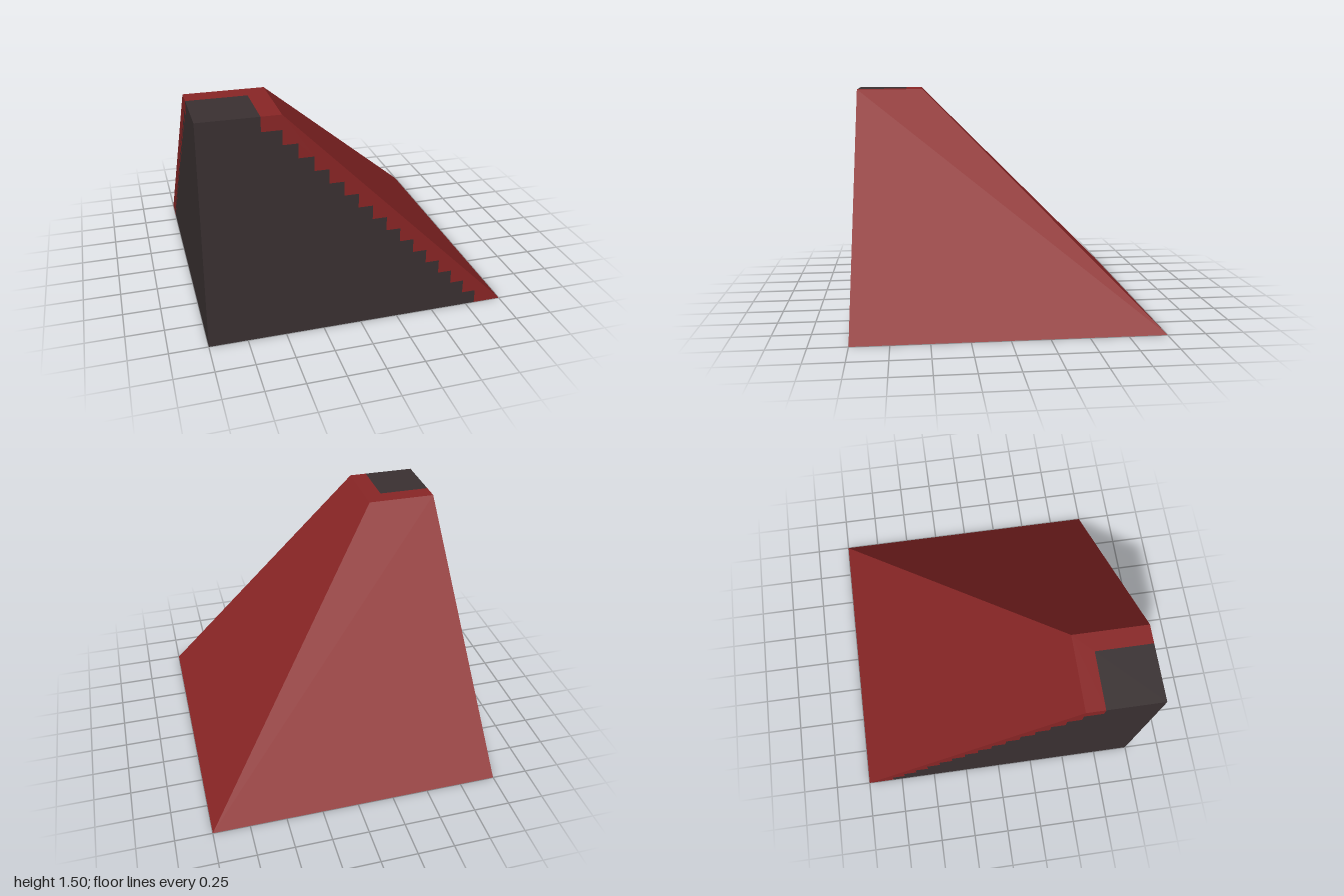
import * as THREE from 'three';

const H = 1.5;      // height of the flat top
const STEPS = 16;   // steps in the stone pattern

export function createModel() {
  const red = new THREE.MeshStandardMaterial({ name: 'red cover', color: 0x8a2626 });
  const stone = new THREE.MeshStandardMaterial({ name: 'dark stone', color: 0x3a3132 });
  const model = new THREE.Group();
  model.name = 'cornerSlope';

  // Flat outline placed in space by a rule; flip turns the face around
  function panel(name, material, outline, place, flip = false) {
    const geo = new THREE.ShapeGeometry(new THREE.Shape(outline.map(p => new THREE.Vector2(...p))));
    const pos = geo.attributes.position;
    for (let i = 0; i < pos.count; i++) pos.setXYZ(i, ...place(pos.getX(i), pos.getY(i)));
    if (flip) geo.index.array.reverse();
    geo.computeVertexNormals();
    const mesh = new THREE.Mesh(geo, material);
    mesh.name = name;
    model.add(mesh);
  }

  // The block is symmetric about its diagonal, so each side is built twice
  function mirroredPanel(names, material, outline, place) {
    panel(names[0], material, outline, place);
    panel(names[1], material, outline, (u, v) => {
      const [x, y, z] = place(u, v);
      return [-z, y, -x];
    }, true);
  }

  // Stepped border between stone and cover on the upright walls
  const steps = [];
  for (let i = 0; i < STEPS; i++) {
    const h = H / STEPS;
    const x = i === STEPS - 1 ? -0.625 : 0.8125 - i * h;
    steps.push([x, i * h], [x, (i + 1) * h]);
  }
  const onWall = (x, y) => [x, y, 1];
  mirroredPanel(['frontStoneWall', 'sideStoneWall'], stone, [[-1, 0], ...steps, [-1, H]], onWall);
  mirroredPanel(['frontCoverEdge', 'sideCoverEdge'], red,
    [[1, 0], [-0.5, H], ...steps.slice().reverse()], onWall);

  // Two slopes meeting at the diagonal ridge, drawn in plan (x, -z)
  mirroredPanel(['rightSlope', 'backSlope'], red,
    [[-0.5, -1], [1, -1], [1, 1], [-0.5, -0.5]], (x, w) => [x, 1 - x, -w]);

  // Flat top and underside: stone square with an L-shaped cover border
  function cap(name, y, inner, outer, flip) {
    const place = (x, w) => [x, y, -w];
    panel(name + 'Stone', stone, [[-1, -1], [inner, -1], [inner, inner], [-1, inner]], place, flip);
    panel(name + 'Border', red,
      [[inner, -1], [outer, -1], [outer, outer], [-1, outer], [-1, inner], [inner, inner]], place, flip);
  }
  cap('top', H, -0.625, -0.5, false);
  cap('underside', 0, 0.875, 1, true);

  return model;
}
